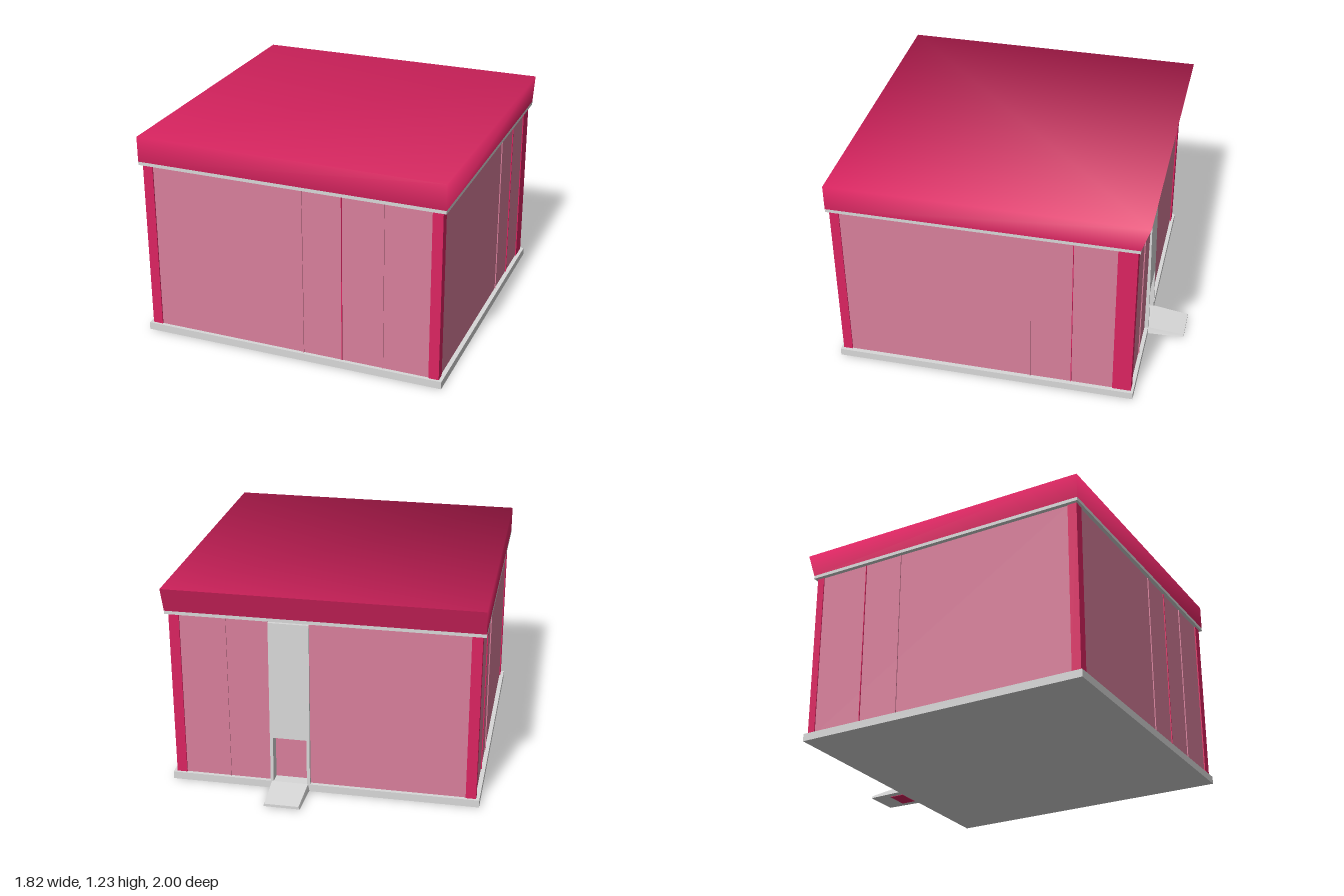
import * as THREE from 'three';

const mat = (name, color) => Object.assign(new THREE.MeshStandardMaterial({ color }), { name });

export function createModel() {
  const model = new THREE.Group();
  model.name = 'shed';
  const crimson = mat('crimson', 0xdb2461);
  const pink = mat('dusty pink', 0xd87f9b);
  const grey = mat('light grey', 0xd8d8d8);

  const add = (name, geometry, material) => {
    const mesh = new THREE.Mesh(geometry, material);
    mesh.name = name;
    model.add(mesh);
    return mesh;
  };

  // Box given by its minimum and maximum on each axis
  const box = (name, material, x0, x1, y0, y1, z0, z1) => {
    const g = new THREE.BoxGeometry(x1 - x0, y1 - y0, z1 - z0);
    g.translate((x0 + x1) / 2, (y0 + y1) / 2, (z0 + z1) / 2);
    return add(name, g, material);
  };

  // Unit box whose corners are moved by a rule
  const shaped = (name, material, rule) => {
    const g = new THREE.BoxGeometry(2, 2, 2);
    const p = g.attributes.position;
    for (let i = 0; i < p.count; i++) p.setXYZ(i, ...rule(p.getX(i), p.getY(i), p.getZ(i)));
    g.computeVertexNormals();
    return add(name, g, material);
  };

  const LOW = 0.045, HIGH = 1.06;      // wall bottom and top
  const DOOR_L = 0.315, DOOR_R = 0.08; // doorway sides

  // Floor slab and the trim under the roof
  box('floor', grey, -0.91, 0.91, 0, LOW, -0.78, 1);
  box('roofTrim', grey, -0.91, 0.91, HIGH, 1.08, -0.78, 1);

  // Corner posts
  for (const s of [-1, 1]) {
    const xs = s < 0 ? [-0.89, -0.83] : [0.83, 0.89];
    box('frontPost', crimson, ...xs, LOW, HIGH, 0.93, 0.985);
    box('backPost', crimson, ...xs, LOW, HIGH, -0.765, s > 0 ? -0.655 : -0.72);
  }

  // Front and side walls
  box('frontWall', pink, -0.83, 0.83, LOW, HIGH, 0.945, 0.978);
  box('leftWall', pink, 0.85, 0.884, LOW, HIGH, -0.655, 0.93);
  box('rightWall', pink, -0.884, -0.85, LOW, HIGH, -0.72, 0.93);

  // Back wall around the doorway, with a recessed panel behind the opening
  box('backWall', pink, -0.83, DOOR_R, LOW, HIGH, -0.757, -0.72);
  box('backWall', pink, DOOR_L, 0.83, LOW, HIGH, -0.757, -0.72);
  box('doorway', pink, DOOR_R, DOOR_L, LOW, HIGH, -0.71, -0.69);

  // Narrow seams between the wall panels
  const seam = 0.002, out = 0.006;
  [0.08, 0.315, 0.56].forEach((x, i) => {
    box('frontSeam', i === 1 ? crimson : pink, x - seam, x + seam, LOW, HIGH, 0.97, 0.978 + out);
  });
  box('backSeam', pink, 0.56 - seam, 0.56 + seam, LOW, HIGH, -0.757 - out, -0.75);
  [-0.165, -0.41].forEach((z, i) => {
    for (const s of [-1, 1]) {
      const x = s * 0.884;
      box('sideSeam', i === 1 ? crimson : pink,
        Math.min(x, x + s * out), Math.max(x, x + s * out), LOW, HIGH, z - seam, z + seam);
    }
  });

  // Door hood leaning outward towards its lower edge
  const lean = (y) => -0.762 - 0.02 * (HIGH - y);
  const leaning = (name, x0, x1, y0, y1) => shaped(name, grey, (x, y, z) => {
    const h = y < 0 ? y0 : y1;
    return [x < 0 ? x0 : x1, h, z < 0 ? lean(h) : -0.71];
  });
  leaning('doorHood', DOOR_R, DOOR_L, 0.33, 1.045);
  leaning('doorJamb', DOOR_R, DOOR_R + 0.018, LOW, 0.33);
  leaning('doorJamb', DOOR_L - 0.018, DOOR_L, LOW, 0.33);

  // Entrance ramp, narrower and lower at its far end
  shaped('ramp', grey, (x, y, z) => {
    const far = z < 0;
    const half = y < 0 ? (far ? 0.107 : 0.116) : (far ? 0.1 : 0.108);
    return [0.2 + x * half, y < 0 ? 0.004 : far ? 0.02 : LOW, far ? -1 : -0.78];
  });
  box('rampUnderside', crimson, 0.13, 0.27, 0.001, 0.006, -0.88, -0.79);

  // Roof: top, front and sides shade smoothly into each other, the back is flat
  const corners = [[-1, -1], [1, -1], [1, 1], [-1, 1]];
  const position = [], normal = [];
  const vertex = (p, n) => {
    position.push(...p);
    normal.push(...new THREE.Vector3(...n).normalize().toArray());
  };
  const low = corners.map(([x, z]) => [x * 0.91, 1.08, z < 0 ? -0.78 : 1]);
  const top = corners.map(([x, z]) => [x * 0.91, 1.23, z < 0 ? -0.83 : 1]);
  corners.forEach(([x, z], i) => vertex(low[i], [x, 0, z < 0 ? 0 : 1]));
  corners.forEach(([x, z], i) => vertex(top[i], [x, 1, z < 0 ? 0 : 1]));
  for (const p of [low[1], low[0], top[0], top[1]]) vertex(p, [0, -0.05, -0.15]);
  const roof = new THREE.BufferGeometry();
  roof.setAttribute('position', new THREE.Float32BufferAttribute(position, 3));
  roof.setAttribute('normal', new THREE.Float32BufferAttribute(normal, 3));
  roof.setIndex([
    4, 7, 5, 7, 6, 5,   // top
    3, 2, 6, 3, 6, 7,   // front
    2, 1, 5, 2, 5, 6,   // left side
    0, 3, 7, 0, 7, 4,   // right side
    8, 9, 10, 8, 10, 11 // back
  ]);
  add('roof', roof, crimson);

  return model;
}
